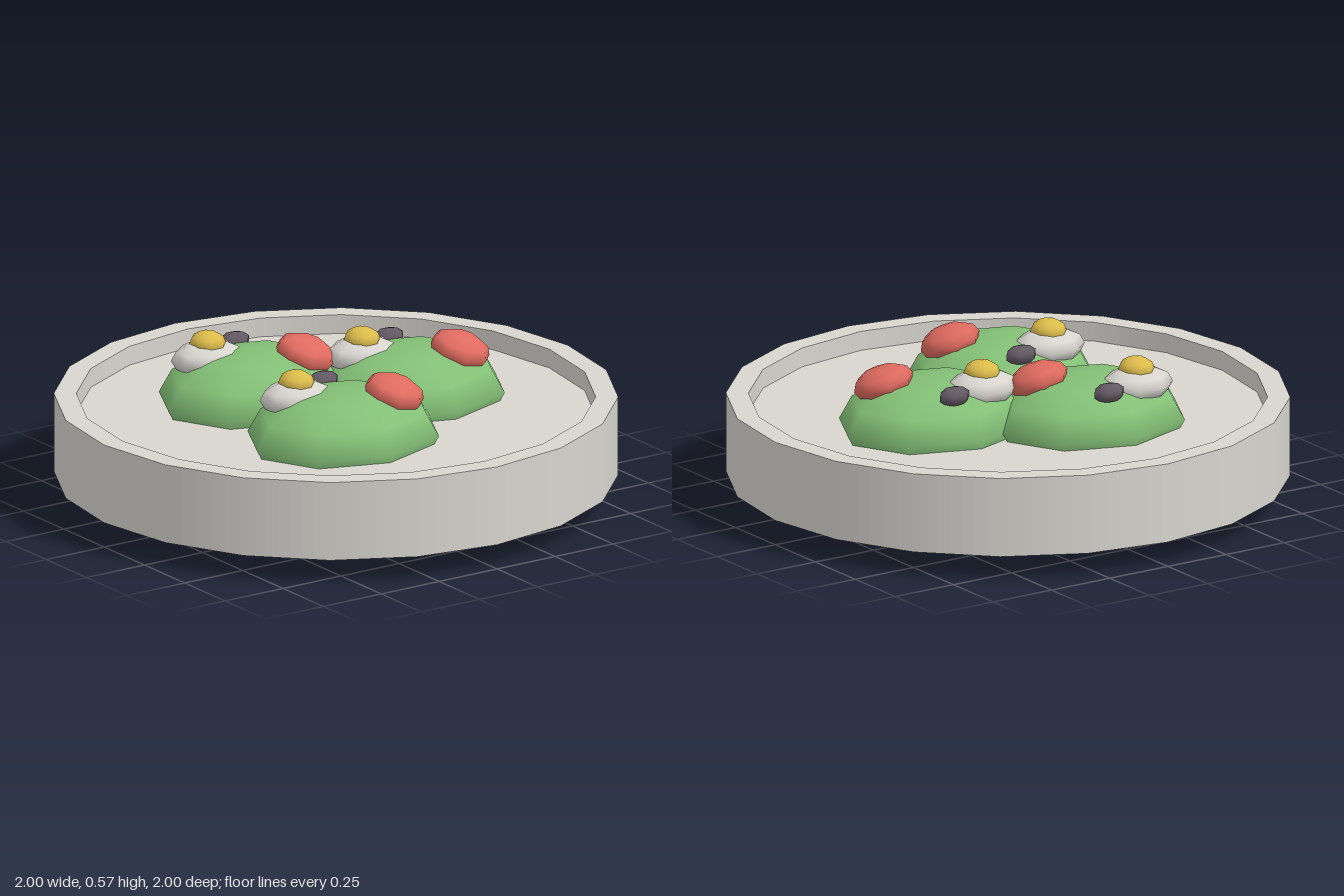
import * as THREE from 'three';
import { mergeGeometries } from 'three/addons/utils/BufferGeometryUtils.js';

const SIDES = 20;

function material(name, color) {
  const m = new THREE.MeshStandardMaterial({ color });
  m.name = name;
  return m;
}

// Lathe with a hard edge at each profile point
function hardLathe(profile) {
  const bands = [];
  for (let i = 0; i < profile.length - 1; i++) {
    const pair = [profile[i], profile[i + 1]].map(([r, y]) => new THREE.Vector2(r, y));
    bands.push(new THREE.LatheGeometry(pair, SIDES));
  }
  return mergeGeometries(bands);
}

// Low-sided ellipsoid; turn rotates its vertices before it is stretched
function ellipsoid(name, mat, sides, rows, turn, size, position) {
  const geometry = new THREE.SphereGeometry(1, sides, rows);
  geometry.rotateY(turn);
  geometry.scale(...size);
  const mesh = new THREE.Mesh(geometry, mat);
  mesh.name = name;
  mesh.position.set(...position);
  return mesh;
}

export function createModel() {
  const ceramic = material('ceramic', 0xd8d5cf);
  const leaf = material('leafGreen', 0x83bf76);
  const tomatoRed = material('tomatoRed', 0xdf6b60);
  const yolkYellow = material('yolkYellow', 0xdcbc4c);
  const oliveDark = material('oliveDark', 0x625963);

  const model = new THREE.Group();
  model.name = 'saladPlate';

  // Plate: upright rim ring around a tapered dish
  const plate = new THREE.Group();
  plate.name = 'plate';
  const rim = new THREE.Mesh(
    hardLathe([[0.92, 0.09], [1, 0.09], [1, 0.38], [0.92, 0.38], [0.92, 0.09]]), ceramic);
  rim.name = 'rim';
  const dish = new THREE.Mesh(new THREE.CylinderGeometry(0.935, 0.67, 0.31, SIDES), ceramic);
  dish.name = 'dish';
  dish.position.y = 0.155;
  plate.add(rim, dish);
  model.add(plate);

  // Three identical salad portions
  const eighth = Math.PI / 8;
  for (const [x, z] of [[-0.16, -0.275], [0.315, 0], [-0.16, 0.275]]) {
    const portion = new THREE.Group();
    portion.name = 'saladPortion';
    portion.position.set(x, 0, z);

    const tomato = ellipsoid('tomato', tomatoRed, 8, 6, eighth,
      [0.112, 0.06, 0.112], [0.16, 0.488, 0.087]);
    tomato.rotation.set(0.22, 0, -0.22);

    portion.add(
      ellipsoid('lettuce', leaf, 8, 6, 0, [0.37, 0.17, 0.308], [0, 0.34, 0]),
      ellipsoid('eggWhite', ceramic, 8, 6, eighth, [0.138, 0.065, 0.108], [-0.128, 0.47, -0.11]),
      ellipsoid('eggYolk', yolkYellow, 8, 6, eighth, [0.066, 0.044, 0.068], [-0.128, 0.526, -0.108]),
      ellipsoid('olive', oliveDark, 6, 5, 0, [0.065, 0.035, 0.046], [0.037, 0.483, -0.178]),
      tomato);
    model.add(portion);
  }
  return model;
}
